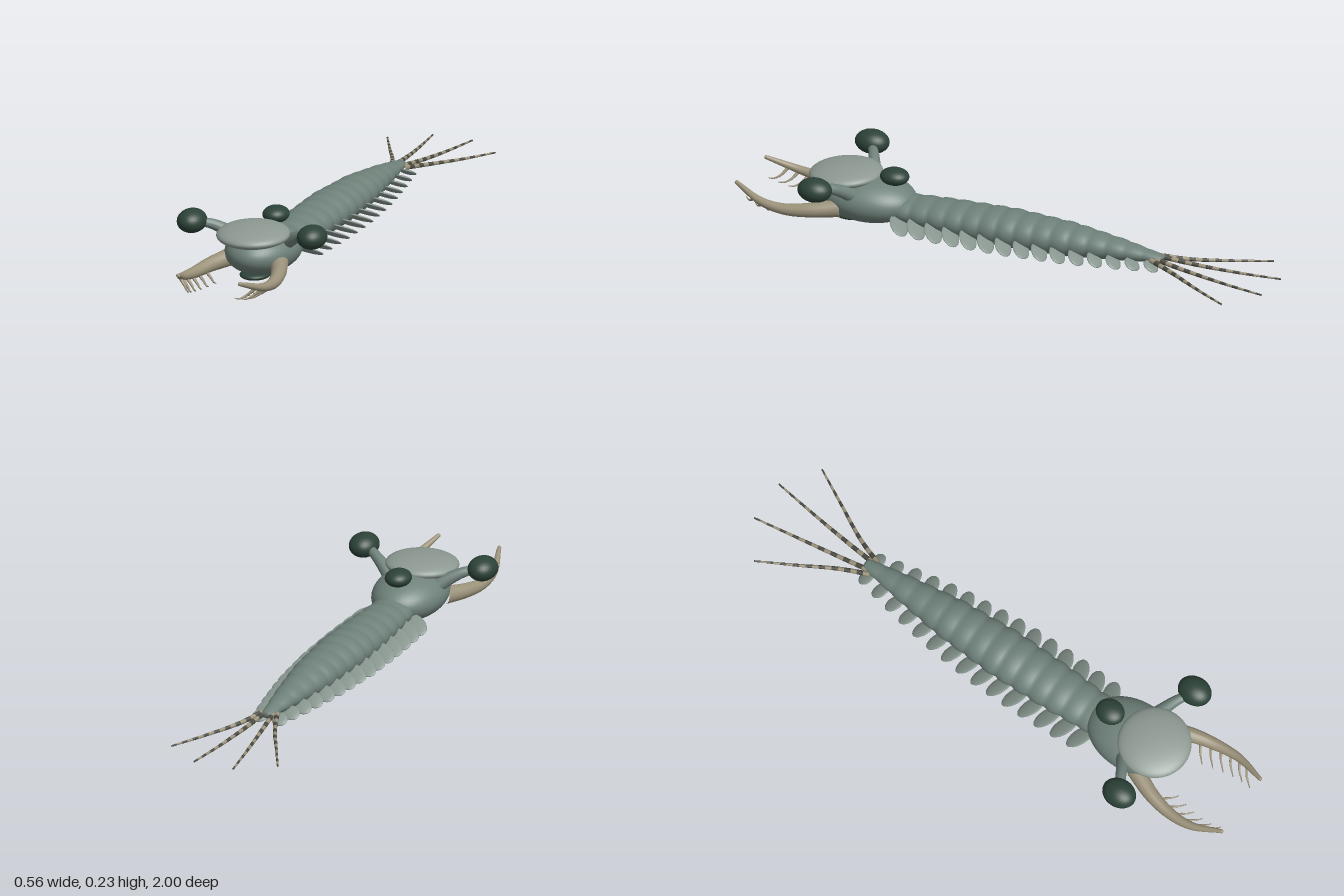
import * as THREE from 'three';
import { mergeVertices } from 'three/addons/utils/BufferGeometryUtils.js';

const mat = (color) => new THREE.MeshStandardMaterial({ color });
const BODY = mat(0x6f817a), FLAP = mat(0x87958e), PLATE = mat(0x8d9992);
const EYE = mat(0x2c4238), HORN = mat(0x9b927a), DARK = mat(0x4a4a42);
const lerp = THREE.MathUtils.lerp;

export function createModel() {
  const root = new THREE.Group();

  const add = (name, geometry, material, parent = root) => {
    const mesh = new THREE.Mesh(geometry, material);
    mesh.name = name;
    parent.add(mesh);
    return mesh;
  };

  const ellipsoid = (name, material, pos, size, parent = root, seg = 32) => {
    const mesh = add(name, new THREE.SphereGeometry(1, seg, seg / 2), material, parent);
    mesh.position.set(...pos);
    mesh.scale.set(...size);
    return mesh;
  };

  const curveOf = (pts, s = 1) =>
    new THREE.CatmullRomCurve3(pts.map(([x, y, z]) => new THREE.Vector3(x * s, y, z)));

  // Tube whose radius follows radiusAt(t); t is 0 at the root and 1 at the tip
  const taperTube = (curve, radiusAt, segs, sides) => {
    const geo = new THREE.TubeGeometry(curve, segs, 1, sides);
    const p = geo.attributes.position, v = new THREE.Vector3();
    for (let i = 0; i < p.count; i++) {
      const t = Math.floor(i / (sides + 1)) / segs;
      const c = curve.getPointAt(t);
      v.fromBufferAttribute(p, i).sub(c).multiplyScalar(radiusAt(t)).add(c);
      p.setXYZ(i, v.x, v.y, v.z);
    }
    geo.computeVertexNormals();
    return geo;
  };

  // Segmented trunk: a cylinder reshaped into bulging rings that taper to the tail
  const Z0 = 0.42, Z1 = -0.585, RINGS = 15;
  // columns: t, half width, bottom y, top y
  const profile = [
    [0, 0.075, 0.035, 0.125], [0.2, 0.088, 0.022, 0.137], [0.42, 0.092, 0.017, 0.146],
    [0.65, 0.077, 0.024, 0.139], [0.85, 0.047, 0.045, 0.116], [1, 0.02, 0.064, 0.09],
  ];
  const section = new THREE.SplineCurve();
  const bodyAt = (t) => {
    let k = 0;
    while (k < profile.length - 2 && t > profile[k + 1][0]) k++;
    const a = profile[k], b = profile[k + 1], u = (t - a[0]) / (b[0] - a[0]);
    const [w, lo, hi] = [1, 2, 3].map((j) => lerp(a[j], b[j], u));
    return { w, h: (hi - lo) / 2, y: (hi + lo) / 2 };
  };
  let trunk = new THREE.CylinderGeometry(1, 1, 1, 40, RINGS * 8);
  trunk.deleteAttribute('uv');
  const tp = trunk.attributes.position;
  for (let i = 0; i < tp.count; i++) {
    const t = THREE.MathUtils.clamp(0.5 - tp.getY(i), 0, 1);
    const { w, h, y } = bodyAt(t);
    const bulge = 0.93 + 0.07 * Math.abs(Math.sin(Math.PI * t * RINGS));
    tp.setXYZ(i, tp.getX(i) * w * bulge, y - tp.getZ(i) * h * bulge, lerp(Z0, Z1, t));
  }
  trunk.deleteAttribute('normal');
  trunk = mergeVertices(trunk, 1e-5);
  trunk.computeVertexNormals();
  add('segmentedTrunk', trunk, BODY);

  // Head, shield, middle eye and mouth
  ellipsoid('head', BODY, [0, 0.095, 0.54], [0.126, 0.083, 0.176], root, 48);
  ellipsoid('headShield', PLATE, [0, 0.168, 0.628], [0.128, 0.034, 0.128], root, 48).rotation.x = 0.06;
  ellipsoid('middleEye', EYE, [0, 0.188, 0.442], [0.046, 0.03, 0.052]);
  ellipsoid('mouth', EYE, [0, 0.019, 0.61], [0.053, 0.016, 0.062]);

  for (const s of [1, -1]) {
    const side = s > 0 ? 'left' : 'right';

    // Stalked eye
    const stalk = curveOf([[0.08, 0.12, 0.555], [0.125, 0.153, 0.58], [0.17, 0.177, 0.605], [0.215, 0.188, 0.635]], s);
    add(side + 'EyeStalk', taperTube(stalk, (t) => lerp(0.027, 0.014, t), 20, 16), BODY);
    ellipsoid(side + 'Eye', EYE, [0.228 * s, 0.19, 0.638], [0.051, 0.042, 0.062]);

    // Grasping arm with a row of inner spines
    const arm = new THREE.Group();
    arm.name = side + 'Arm';
    root.add(arm);
    const armCurve = curveOf([[0.09, 0.072, 0.61], [0.129, 0.062, 0.7], [0.149, 0.056, 0.79],
      [0.15, 0.068, 0.88], [0.117, 0.106, 0.99]], s);
    const armRadius = (t) => lerp(0.032, 0.007, t);
    add('armTube', taperTube(armCurve, armRadius, 40, 20), HORN, arm);
    ellipsoid('armTip', HORN, armCurve.getPointAt(1).toArray(), [0.007, 0.007, 0.007], arm, 16);
    for (let i = 0; i < 6; i++) {
      const u = i / 5, b = armCurve.getPointAt(lerp(0.32, 0.8, u));
      const x = Math.abs(b.x);
      const len = lerp(0.062, 0.05, u);
      const spine = curveOf([[x, b.y - 0.008, b.z], [x - 0.5 * len, b.y - 0.03, b.z + 0.016],
        [x - 0.85 * len, b.y - 0.039, b.z + 0.036], [x - 1.1 * len, b.y - 0.034, b.z + 0.05]], s);
      add('armSpine', taperTube(spine, (t) => lerp(0.0065, 0.0015, t), 10, 8), HORN, arm);
    }

    // Overlapping swimming flaps, swept back and drooping
    for (let i = 0; i < RINGS; i++) {
      const t = (i + 0.45) / RINGS, { w } = bodyAt(t);
      const half = lerp(0.058, 0.028, t * t);
      const flap = ellipsoid(side + 'Flap', FLAP,
        [s * (w * 0.78 + half * 0.55), lerp(0.052, 0.058, t), lerp(Z0, Z1, t) - 0.008],
        [half, 0.007, lerp(0.036, 0.028, t)], root, 24);
      flap.rotation.set(-0.45, 0.5 * s, -0.3 * s, 'YZX');
    }

    // Banded tail filaments
    const tails = [
      [[0.015, 0.077, -0.56], [0.03, 0.064, -0.68], [0.052, 0.054, -0.84], [0.075, 0.05, -1]],
      [[0.025, 0.074, -0.55], [0.065, 0.062, -0.65], [0.135, 0.053, -0.78], [0.205, 0.049, -0.91]],
    ];
    for (const pts of tails) {
      const curve = curveOf(pts, s), BANDS = 18;
      for (let k = 0; k < BANDS; k++) {
        const a = k / BANDS, b = (k + 1) / BANDS;
        const part = curveOf([a, (a + b) / 2, b].map((u) => curve.getPointAt(u).toArray()));
        add(side + 'TailFilament', taperTube(part, (t) => lerp(0.009, 0.003, lerp(a, b, t)), 4, 10),
          k % 2 ? DARK : HORN);
      }
    }
  }
  return root;
}
